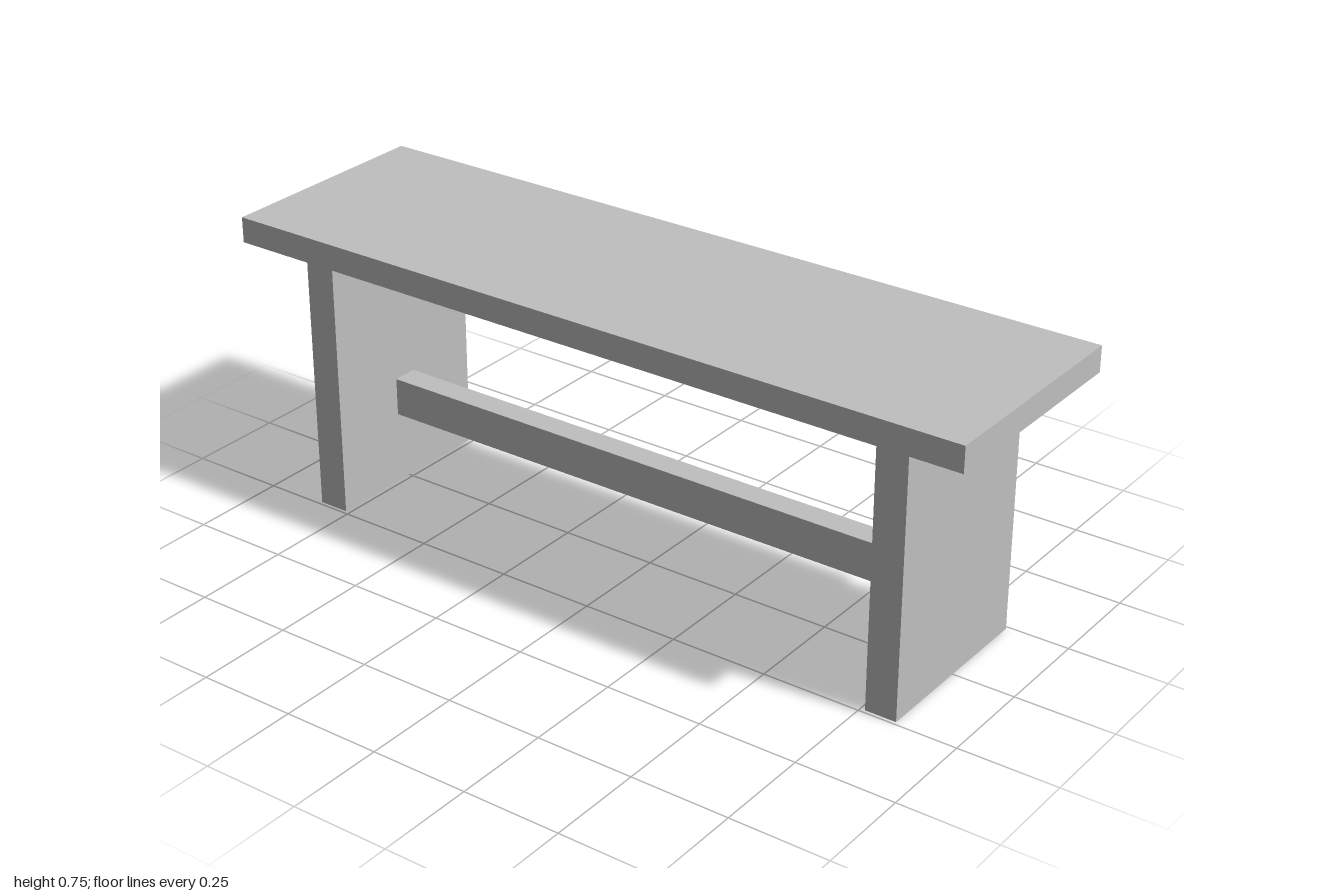
import * as THREE from 'three';

export function createModel() {
  const bench = new THREE.Group();
  bench.name = 'bench';

  const grey = new THREE.MeshStandardMaterial({ color: 0xbfbfbf });
  grey.name = 'plain grey';

  // Adds a board given its size, its underside height and its x centre
  function addBoard(name, width, height, depth, bottom, x = 0) {
    const board = new THREE.Mesh(new THREE.BoxGeometry(width, height, depth), grey);
    board.name = name;
    board.position.set(x, bottom + height / 2, 0);
    bench.add(board);
  }

  const legHeight = 0.685;
  const legThickness = 0.08;
  const legX = 0.802;

  // Seat plank
  addBoard('seat', 2, 0.065, 0.582, legHeight);

  // Slab legs
  addBoard('leftLeg', legThickness, legHeight, 0.482, 0, legX);
  addBoard('rightLeg', legThickness, legHeight, 0.482, 0, -legX);

  // Stretcher between the inner faces of the legs
  addBoard('stretcher', 2 * legX - legThickness, 0.098, 0.065, 0.186);

  return bench;
}
